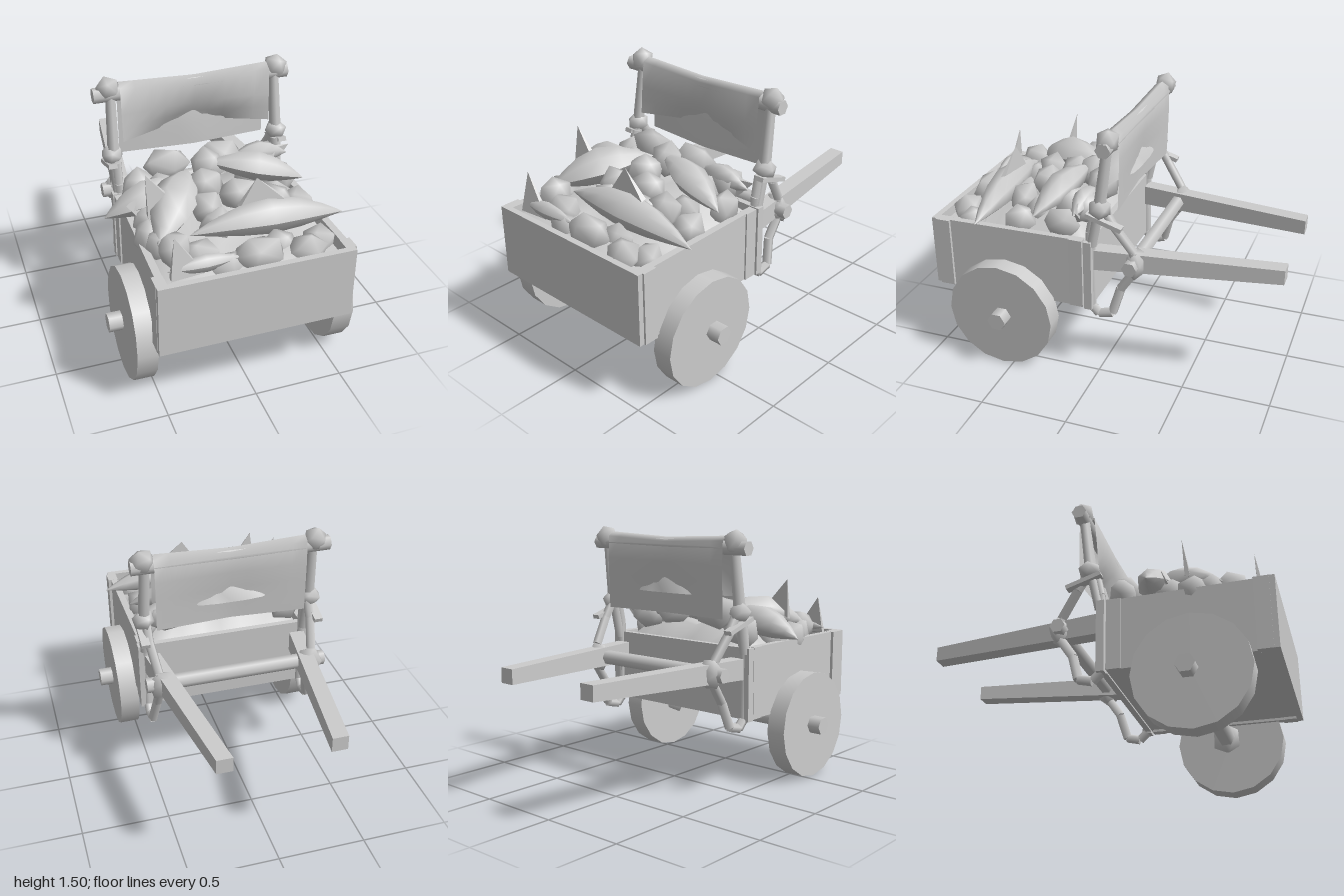
import * as THREE from 'three';
import { mergeVertices } from 'three/addons/utils/BufferGeometryUtils.js';
import { ConvexGeometry } from 'three/addons/geometries/ConvexGeometry.js';

const wood = new THREE.MeshStandardMaterial({ color: 0xcccccc, side: THREE.DoubleSide });
wood.name = 'plain grey';
const V = (x, y, z) => new THREE.Vector3(x, y, z);

// Seeded jitter in -1..1
const makeRandom = (seed) => () => ((seed = (seed * 16807) % 2147483647) / 2147483647) * 2 - 1;

export function createModel() {
  const model = new THREE.Group();
  model.name = 'handcart';
  const rnd = makeRandom(7);

  const add = (name, geo, x = 0, y = 0, z = 0) => {
    const m = new THREE.Mesh(geo, wood);
    m.name = name;
    m.position.set(x, y, z);
    model.add(m);
    return m;
  };
  const box = (name, x0, x1, y0, y1, z0, z1) =>
    add(name, new THREE.BoxGeometry(x1 - x0, y1 - y0, z1 - z0), (x0 + x1) / 2, (y0 + y1) / 2, (z0 + z1) / 2);
  const pole = (name, a, b, r, sides = 6, r2 = r) => {
    const m = add(name, new THREE.CylinderGeometry(r2, r, a.distanceTo(b), sides));
    m.position.copy(a).lerp(b, 0.5);
    m.quaternion.setFromUnitVectors(V(0, 1, 0), b.clone().sub(a).normalize());
    return m;
  };
  // Irregular low-poly lump with smooth normals
  const lump = (name, x, y, z, sx, sy, sz, turn = 0) => {
    let g = new THREE.IcosahedronGeometry(1, 0);
    g.deleteAttribute('normal');
    g.deleteAttribute('uv');
    g = mergeVertices(g);
    const p = g.attributes.position;
    for (let i = 0; i < p.count; i++) {
      const k = 1.08 + rnd() * 0.12;
      p.setXYZ(i, p.getX(i) * k, p.getY(i) * k, p.getZ(i) * k);
    }
    g.rotateY(turn);
    g.rotateZ(turn * 0.6);
    g.scale(sx, sy, sz);
    g.computeVertexNormals();
    return add(name, g, x, y, z);
  };
  // Four-cornered spar with a different centre and size at each end
  const spar = (name, a, b, wa, ha, wb, hb) => {
    const g = new THREE.BoxGeometry(1, 1, 1);
    const p = g.attributes.position;
    for (let i = 0; i < p.count; i++) {
      const end = p.getZ(i) > 0;
      const c = end ? a : b;
      p.setXYZ(i, c.x + p.getX(i) * (end ? wa : wb), c.y + p.getY(i) * (end ? ha : hb), c.z);
    }
    g.computeVertexNormals();
    return add(name, g);
  };

  // Cart box
  box('frontBoard', -0.54, 0.53, 0.415, 0.83, 0.965, 1);
  box('backBoard', -0.49, 0.49, 0.42, 0.83, 0.04, 0.075);
  box('floor', -0.5, 0.5, 0.43, 0.46, 0.06, 0.97);
  for (const s of [-1, 1]) {
    spar('sidePanel', V(s * 0.505, 0.622, 0.9), V(s * 0.49, 0.622, 0.14), 0.04, 0.415, 0.04, 0.415);
    box('frontCornerPost', s * 0.512 - 0.03, s * 0.512 + 0.03, 0.415, 0.83, 0.885, 0.97);
    box('backCornerPost', s * 0.495 - 0.025, s * 0.495 + 0.025, 0.415, 0.83, 0.085, 0.165);
    box('backUpright', s * 0.495 - 0.03, s * 0.495 + 0.03, 0.41, 0.83, 0.03, 0.075);
  }

  // Axle, solid disc wheels and axle brackets
  pole('axle', V(-0.7, 0.32, 0.545), V(0.695, 0.32, 0.545), 0.054);
  for (const s of [-1, 1]) {
    const w = add('wheel', new THREE.CylinderGeometry(0.317, 0.317, 0.115, 16), s * 0.562 - 0.003, 0.314, 0.56);
    w.rotation.z = Math.PI / 2 - 0.015;
    lump('axleBracket', s * 0.465, 0.325, 0.545, 0.05, 0.092, 0.08, 0.2);
  }

  // Handles, back frame, rope knots and rope loops
  const loop = [[1.0, 0.02], [0.88, 0.045], [0.65, 0.05], [0.42, 0.045], [0.375, 0], [0.395, -0.08],
    [0.54, -0.12], [0.66, -0.2], [0.78, -0.19], [0.93, -0.09], [1.03, -0.03]];
  for (const s of [-1, 1]) {
    spar('handle', V(s * 0.445, 0.71, 0.03), V(s * 0.308, 0.723, -1), 0.09, 0.12, 0.09, 0.085);
    pole('backPost', V(s * 0.485, 0.8, 0.04), V(s * 0.49, 1.04, -0.01), 0.03);
    pole('backPost', V(s * 0.49, 1.02, -0.01), V(s * 0.48, 1.45, -0.065), 0.035, 6, 0.028);
    lump('topKnot', s * 0.49, 1.42, -0.062, 0.064, 0.068, 0.058, s * 0.4);
    lump('middleKnot', s * 0.495, 1.035, -0.015, 0.062, 0.052, 0.062, s * 0.3);
    lump('handleKnot', s * 0.435, 0.71, -0.2, 0.078, 0.088, 0.06, s * 0.2);
    const tie = box('knotTie', s * 0.51 - 0.025, s * 0.51 + 0.025, 0.955, 0.98, -0.15, 0.06);
    tie.rotation.x = -0.3;
    const points = loop.map(([y, z]) => V(s * (z < -0.1 ? 0.455 : 0.48), y, z));
    for (let i = 0; i < points.length - 1; i++) pole('ropeLoop', points[i], points[i + 1], 0.028, 5);
  }
  pole('topBar', V(-0.58, 1.39, -0.06), V(0.56, 1.39, -0.06), 0.043);
  pole('crossBar', V(-0.53, 0.71, -0.19), V(0.53, 0.71, -0.19), 0.043);

  // Cloth draped over the top bar: the front sheet tucks back through the middle of the back sheet
  const drape = [[1.0, -0.095], [1.12, -0.1], [1.2, -0.102], [1.3, -0.105], [1.43, -0.1], [1.455, -0.06], [1.43, -0.015],
    [1.28, 0], [1.2, 0.006], [1.12, 0.012]];
  const cols = 10;
  const cloth = new THREE.PlaneGeometry(1, 1, cols, drape.length - 1);
  const cp = cloth.attributes.position;
  for (let i = 0; i < cp.count; i++) {
    const u = (i % (cols + 1)) / cols * 2 - 1;
    const [y, z] = drape[Math.floor(i / (cols + 1))];
    const mid = 1 - Math.abs(u);
    const low = Math.max(0, (1.4 - y) / 0.28);
    const front = z > -0.05;
    const pulled = front ? Math.max(-0.105, z - 0.18 * mid * low * low) : z + 0.03 * mid * Math.min(1, low);
    cp.setXYZ(i, u * 0.435, y - (y > 1.4 ? mid * 0.018 : 0), pulled);
  }
  cloth.computeVertexNormals();
  add('clothBack', cloth);

  // Fish: an arched spindle from tail to nose
  const fish = (tail, nose, wide, tall, arch) => {
    const g = new THREE.SphereGeometry(1, 7, 8);
    const p = g.attributes.position;
    for (let i = 0; i < p.count; i++) {
      const t = p.getY(i);
      const k = (1 - Math.abs(t) ** 1.7) / Math.max(0.001, Math.sqrt(1 - t * t));
      p.setXYZ(i, p.getX(i) * k * wide, -p.getZ(i) * k * tall + arch * (1 - t * t), t);
    }
    g.scale(1, 1, tail.distanceTo(nose) / 2);
    g.computeVertexNormals();
    const m = add('fishBody', g);
    m.position.copy(tail).lerp(nose, 0.5);
    m.lookAt(nose);
  };
  fish(V(-0.28, 0.9, 0.7), V(0.595, 0.865, 0.69), 0.095, 0.1, 0.05);
  fish(V(-0.45, 0.88, 0.72), V(-0.13, 1.0, 0.22), 0.13, 0.1, 0.04);
  fish(V(-0.64, 0.86, 0.34), V(-0.15, 0.98, 0.32), 0.1, 0.09, 0.03);
  fish(V(-0.03, 1.04, 0.24), V(0.5, 0.92, 0.38), 0.095, 0.08, 0.03);
  fish(V(-0.46, 0.85, 0.9), V(-0.06, 0.85, 0.89), 0.04, 0.05, 0.01);
  fish(V(0.5, 0.96, 0.14), V(0.15, 0.98, 0.14), 0.06, 0.07, 0.02);

  // Upright tail fins: tip, then the two base corners
  const fins = [
    [V(-0.45, 1.18, 0.5), V(-0.45, 0.95, 0.51), V(-0.31, 1.02, 0.49)],
    [V(0.1, 1.15, 0.66), V(0.0, 1.0, 0.65), V(0.25, 1.02, 0.66)],
    [V(-0.42, 1.04, 0.89), V(-0.45, 0.82, 0.9), V(-0.27, 0.82, 0.88)],
    [V(-0.53, 0.95, 0.4), V(-0.44, 0.85, 0.42), V(-0.4, 1.02, 0.36)],
    [V(0.52, 1.0, 0.12), V(0.42, 0.9, 0.12), V(0.38, 1.02, 0.14)],
  ];
  for (const [tip, a, b] of fins) {
    const deep = (v) => v.clone().add(V(0, -0.01, 0.03));
    add('tailFin', new ConvexGeometry([tip, a, b, deep(a), deep(b)]));
  }

  // Rubble: x, z, top height, half width, half depth
  const rocks = [
    [-0.22, 0.13, 1.1, 0.14, 0.08], [0.1, 0.12, 1.1, 0.13, 0.09], [0.33, 0.13, 1.05, 0.11, 0.08],
    [-0.4, 0.15, 1.01, 0.09, 0.08], [-0.02, 0.22, 1.11, 0.09, 0.09], [-0.07, 0.35, 1.07, 0.1, 0.09],
    [-0.12, 0.52, 1.03, 0.09, 0.09], [0.08, 0.47, 1.05, 0.11, 0.09], [0.26, 0.53, 1.0, 0.1, 0.08],
    [0.4, 0.5, 0.94, 0.09, 0.1], [-0.46, 0.55, 0.94, 0.07, 0.09], [-0.1, 0.62, 0.98, 0.09, 0.09],
    [0.15, 0.58, 0.97, 0.1, 0.08], [0.04, 0.87, 0.93, 0.14, 0.08], [0.3, 0.88, 0.9, 0.1, 0.08],
    [-0.25, 0.79, 0.92, 0.11, 0.08], [-0.38, 0.75, 0.97, 0.09, 0.09], [0.4, 0.8, 0.88, 0.09, 0.08],
    [0.42, 0.24, 0.97, 0.07, 0.1], [0.25, 0.25, 1.03, 0.12, 0.09], [-0.42, 0.42, 0.95, 0.08, 0.1],
    [-0.14, 0.88, 0.89, 0.1, 0.06], [0.3, 0.42, 0.97, 0.1, 0.08], [-0.42, 0.65, 0.94, 0.08, 0.08],
    [0.18, 0.8, 0.9, 0.1, 0.07], [-0.28, 0.23, 1.02, 0.1, 0.08]];
  for (const [x, z, top, w, d] of rocks) lump('rock', x, top - 0.1, z, w, 0.095, d, rnd() * 1.5);

  // Heaped load beneath the loose pieces
  const heap = new THREE.PlaneGeometry(0.94, 0.88, 8, 8);
  heap.rotateX(-Math.PI / 2);
  const hp = heap.attributes.position;
  for (let i = 0; i < hp.count; i++) {
    const edge = Math.max(Math.abs(hp.getX(i)) / 0.47, Math.abs(hp.getZ(i)) / 0.44);
    hp.setY(i, 0.78 + (edge > 0.99 ? 0 : 0.08 - hp.getZ(i) * 0.17 + rnd() * 0.03));
  }
  heap.computeVertexNormals();
  add('heap', heap, 0, 0, 0.52);

  return model;
}
